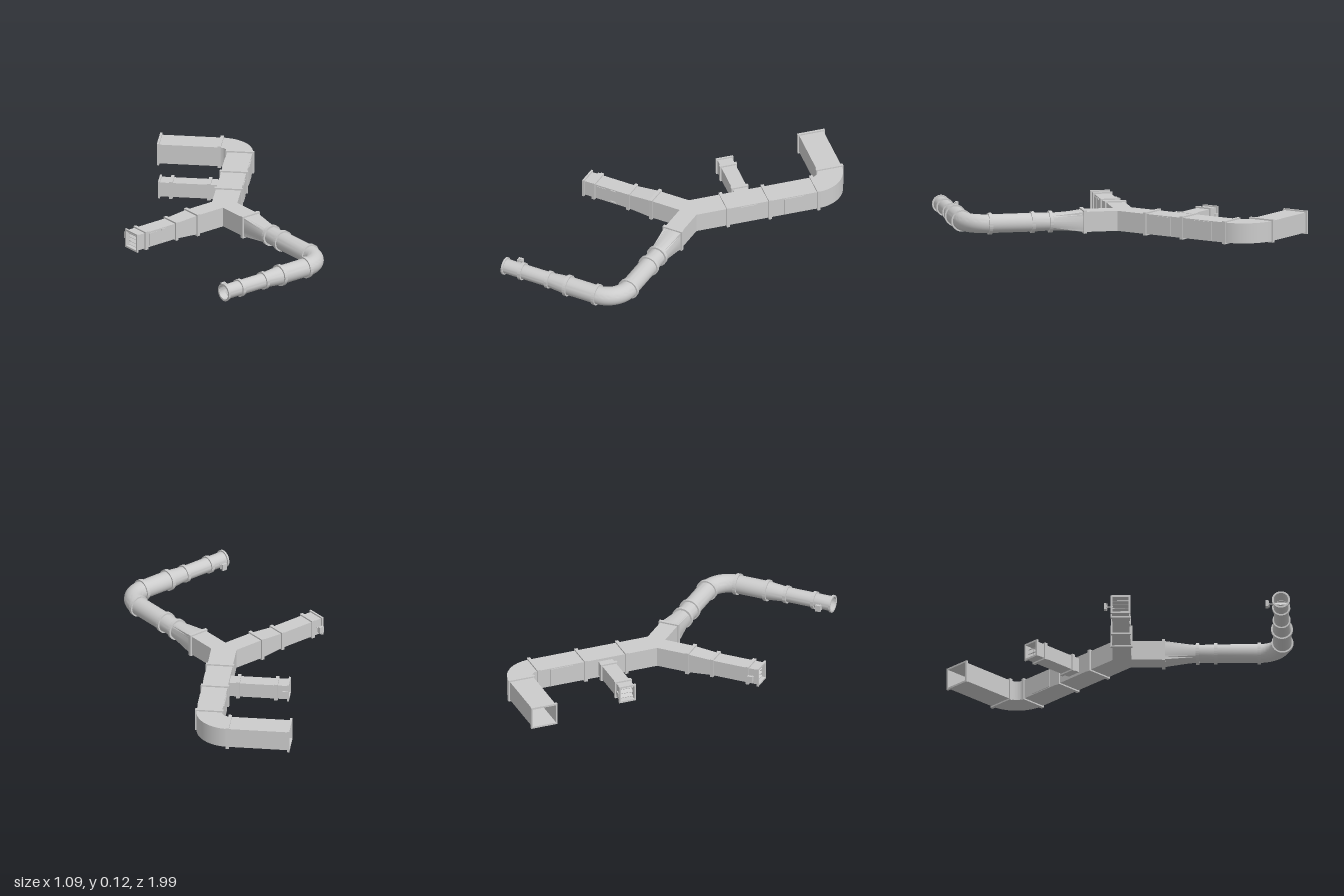
import * as THREE from 'three';
import { toCreasedNormals } from 'three/addons/utils/BufferGeometryUtils.js';

const Y = 0.062, N = 32, Q = Math.PI / 4;
const mat = new THREE.MeshStandardMaterial({ color: 0xcccccc, side: THREE.DoubleSide });

// Cross-section and heading helpers; heading a points along (sin a, cos a) in plan
const rect = (w, h) => ({ w, h, round: false });
const pipe = (r) => ({ w: 2 * r, h: 2 * r, round: true });
const along = (p, a, t, side = 0) => [
  p[0] + Math.sin(a) * t + Math.cos(a) * side,
  p[1] + Math.cos(a) * t - Math.sin(a) * side,
];

function ringPoint(s, k) {
  if (s.round) {
    const f = Q + (k / N) * Math.PI * 2;
    return [Math.cos(f) * s.w / 2, Math.sin(f) * s.h / 2];
  }
  const c = [[1, 1], [-1, 1], [-1, -1], [1, -1]];
  const i = Math.floor(k / 8) % 4, t = (k % 8) / 8, p = c[i], q = c[(i + 1) % 4];
  return [(p[0] + (q[0] - p[0]) * t) * s.w / 2, (p[1] + (q[1] - p[1]) * t) * s.h / 2];
}

// Open sleeve through stations [position, heading, section]
function loft(stations) {
  const pos = [], idx = [];
  stations.forEach(([p, a, s], j) => {
    for (let k = 0; k < N; k++) {
      const [u, v] = ringPoint(s, k), [x, z] = along(p, a, 0, u);
      pos.push(x, Y + v, z);
      if (j === 0) continue;
      const k2 = (k + 1) % N, b = (j - 1) * N, t = j * N;
      idx.push(b + k, b + k2, t + k2, b + k, t + k2, t + k);
    }
  });
  const g = new THREE.BufferGeometry();
  g.setAttribute('position', new THREE.Float32BufferAttribute(pos, 3));
  g.setIndex(idx);
  return toCreasedNormals(g, 0.5);
}

export function createModel() {
  const model = new THREE.Group();
  const add = (name, geo, p = [0, 0], a = 0, y = 0) => {
    const m = new THREE.Mesh(geo, mat);
    m.name = name;
    m.position.set(p[0], y, p[1]);
    m.rotation.y = a;
    model.add(m);
    return m;
  };
  const duct = (name, p, a, t0, t1, s0, s1 = s0) =>
    add(name, loft([[along(p, a, t0), a, s0], [along(p, a, t1), a, s1]]));

  // Signed radius chooses the side of the bend
  const elbow = (name, c, R, a0, a1, s) => {
    const st = [];
    for (let i = 0; i <= 16; i++) {
      const a = a0 + (a1 - a0) * i / 16;
      st.push([along(c, a, 0, R), a, s]);
    }
    add(name, loft(st));
  };

  // Joint collar, rectangular or round, with an open middle
  const flange = (p, a, t, s, depth = 0.018) => {
    const outline = (C, m) => {
      const o = new C(), w = s.w / 2 + m, h = s.h / 2 + m;
      if (s.round) o.absarc(0, 0, w, 0, Math.PI * 2);
      else o.moveTo(-w, -h).lineTo(w, -h).lineTo(w, h).lineTo(-w, h).closePath();
      return o;
    };
    const shape = outline(THREE.Shape, 0.008);
    shape.holes.push(outline(THREE.Path, -0.002));
    let g = new THREE.ExtrudeGeometry(shape, { depth, bevelEnabled: false, curveSegments: 32 });
    g.translate(0, 0, -depth / 2);
    add('flange', toCreasedNormals(g, 0.5), along(p, a, t), a, Y);
  };

  // Damper drive: shaft, plate and small motor outside the duct wall
  const actuator = (p, a, t, side, wall) => {
    const rod = new THREE.CylinderGeometry(0.004, 0.004, 0.04, 10).rotateZ(Math.PI / 2);
    add('damperShaft', rod, along(p, a, t, side * (wall + 0.015)), a, Y);
    add('damperMotor', new THREE.BoxGeometry(0.014, 0.036, 0.028), along(p, a, t, side * (wall + 0.035)), a, Y);
    add('motorPlate', new THREE.BoxGeometry(0.004, 0.026, 0.034), along(p, a, t, side * (wall + 0.025)), a, Y);
  };
  const louvers = (p, a, t, w, h, count) => {
    for (let i = 0; i < count; i++) {
      const y = Y + h * ((i + 0.5) / count - 0.5);
      add('damperBlade', new THREE.BoxGeometry(w, 0.003, 0.026).rotateX(0.5), along(p, a, t), a, y);
    }
  };

  // Main rectangular trunk and its elbow
  const trunk = rect(0.135, 0.108), main = [-0.0625, 0], back = Math.PI, west = Math.PI * 1.5;
  duct('branchTrunk', main, back, 0.304, 0.537, trunk);
  duct('rearTrunk', main, back, 0.537, 0.807, trunk);
  elbow('rearElbow', [-0.18, -0.807], -0.1175, back, west, trunk);
  const tail = [-0.18, -0.9245];
  duct('rearOutlet', tail, west, 0, 0.33, trunk);
  for (const t of [0.304, 0.537, 0.807]) flange(main, back, t, trunk);
  flange(tail, west, 0, trunk);
  flange(tail, west, 0.326, trunk, 0.012);

  // Access panels on the trunk walls
  add('accessPanel', new THREE.BoxGeometry(0.006, 0.098, 0.11), [0.006, -0.67], 0, Y);
  add('accessPanel', new THREE.BoxGeometry(0.006, 0.098, 0.13), [-0.131, -0.675], 0, Y);
  add('accessPanel', new THREE.BoxGeometry(0.006, 0.098, 0.09), [0.006, -0.42], 0, Y);

  // Small side branch
  const small = rect(0.08, 0.08), side = [-0.13, -0.424];
  duct('sideBranch', side, west, 0, 0.25, small);
  duct('sideDamper', side, west, 0.25, 0.318, small);
  for (const t of [0.047, 0.25]) flange(side, west, t, small);
  flange(side, west, 0.314, small, 0.01);
  louvers(side, west, 0.285, 0.078, 0.076, 3);
  add('damperLever', new THREE.BoxGeometry(0.03, 0.02, 0.008), [-0.43, -0.472], 0, Y);

  // Y-shaped splitter
  const half = [[0.0675, -0.304], [0.0675, -0.128], [0.1905, -0.005], [0.1205, 0.065]];
  const plan = [...half, [0, -0.055], ...half.map(([x, z]) => [-x, z]).reverse()];
  const yShape = new THREE.Shape(plan.map(([x, z]) => new THREE.Vector2(x - 0.0625, -z)));
  const yGeo = new THREE.ExtrudeGeometry(yShape, { depth: 0.108, bevelEnabled: false });
  add('splitter', yGeo.rotateX(-Math.PI / 2), [0, 0], 0, Y - 0.054);

  // Rectangular leg
  const leg = rect(0.1, 0.108), slim = rect(0.09, 0.088), L = [-0.098, -0.09];
  duct('legReducer', L, -Q, 0.17, 0.31, leg, slim);
  duct('legDuct', L, -Q, 0.31, 0.515, slim);
  duct('legDamper', L, -Q, 0.515, 0.58, slim);
  flange(L, -Q, 0.17, leg);
  flange(L, -Q, 0.31, slim);
  flange(L, -Q, 0.515, slim);
  flange(L, -Q, 0.576, slim, 0.01);
  louvers(L, -Q, 0.55, 0.088, 0.084, 4);
  actuator(L, -Q, 0.545, -1, 0.045);
  add('legPanel', new THREE.BoxGeometry(0.004, 0.07, 0.05), along(L, -Q, 0.47, 0.046), -Q, Y);
  for (const y of [-0.035, 0.035])
    add('panelLatch', new THREE.BoxGeometry(0.008, 0.008, 0.03), along(L, -Q, 0.4, 0.046), -Q, Y + y);

  // Round leg: square-to-round piece, pipe and elbow
  const R = [-0.027, -0.09], big = pipe(0.05), thin = pipe(0.04);
  duct('squareToRound', R, Q, 0.17, 0.35, leg, pipe(0.047));
  duct('pipeReducer', R, Q, 0.35, 0.447, pipe(0.047), big);
  duct('longPipe', R, Q, 0.447, 0.678, big);
  flange(R, Q, 0.17, leg);
  for (const t of [0.35, 0.447, 0.678]) flange(R, Q, t, big);
  const bend = [0.364, 0.477];
  elbow('pipeElbow', bend, 0.125, Q, -Q, big);

  // Front pipe run to the open end
  const F = along(bend, -Q, 0, 0.125);
  duct('frontPipe', F, -Q, 0, 0.172, big);
  duct('frontReducer', F, -Q, 0.172, 0.285, big, thin);
  duct('frontPipeSlim', F, -Q, 0.285, 0.445, thin);
  duct('roundDamper', F, -Q, 0.445, 0.55, thin);
  for (const t of [0, 0.172]) flange(F, -Q, t, big);
  for (const t of [0.285, 0.445]) flange(F, -Q, t, thin);
  flange(F, -Q, 0.547, thin, 0.01);
  const disc = new THREE.CylinderGeometry(0.037, 0.037, 0.004, 32).rotateX(0.6);
  add('damperDisc', disc, along(F, -Q, 0.495), -Q, Y);
  actuator(F, -Q, 0.495, -1, 0.04);

  return model;
}
